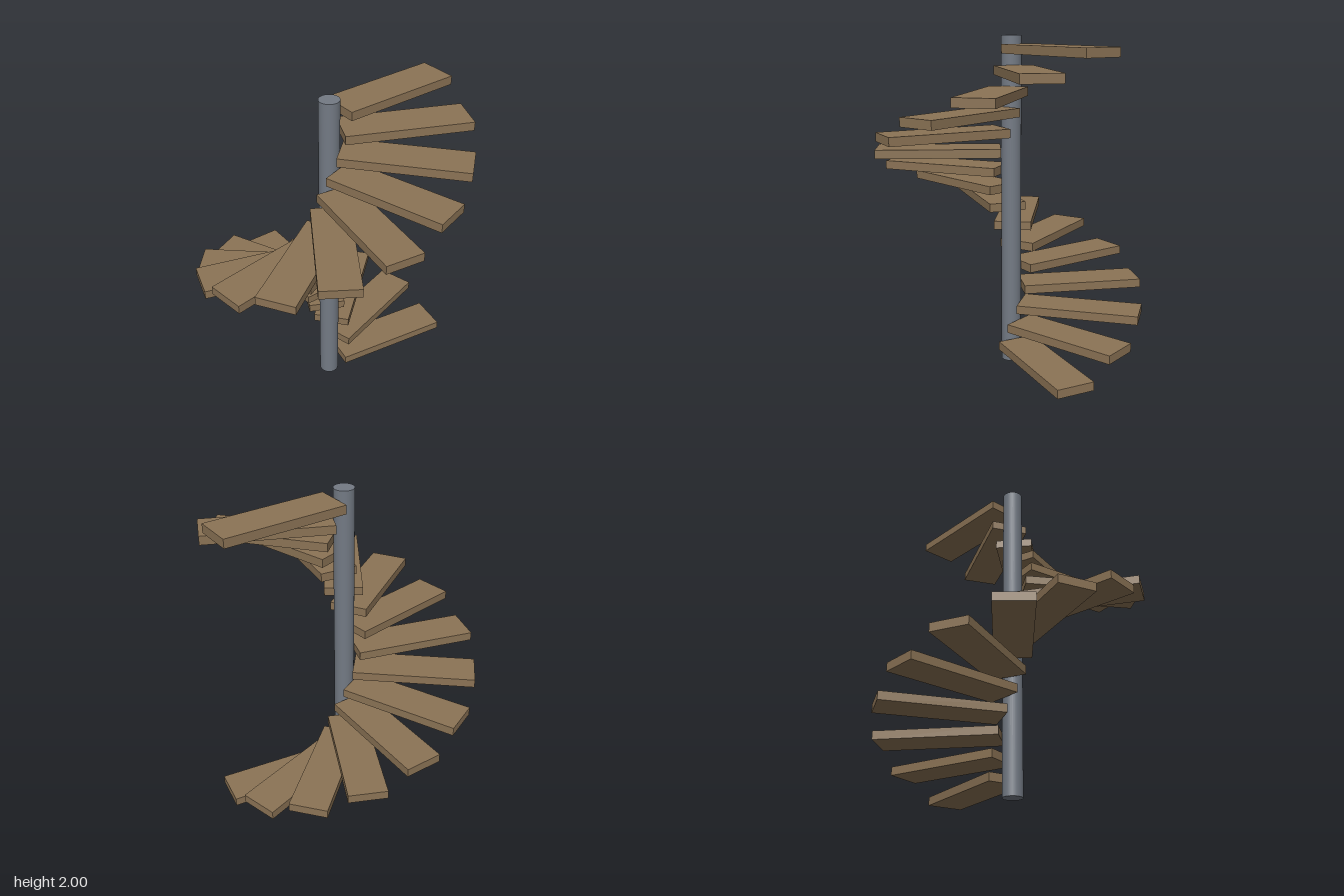
import * as THREE from 'three';

const TREADS = 16;
const STEP_ANGLE = THREE.MathUtils.degToRad(369.4 / 15);
const FIRST_Y = 0.122, RISE = 0.1202;
const INNER = 0.064, OUTER = 0.797;

export function createModel() {
  const wood = new THREE.MeshStandardMaterial({ color: 0x8b7355 });
  wood.name = 'wood';
  const steel = new THREE.MeshStandardMaterial({ color: 0x737a84 });
  steel.name = 'steel';

  const model = new THREE.Group();
  model.name = 'spiralStaircase';

  // Everything turns about the column axis
  const stairs = new THREE.Group();
  stairs.name = 'stairs';
  stairs.position.z = 0.006;
  model.add(stairs);

  // Central column
  const column = new THREE.Mesh(new THREE.CylinderGeometry(0.06, 0.06, 2, 32), steel);
  column.name = 'column';
  column.position.y = 1;
  stairs.add(column);

  // Treads climb counter-clockwise seen from above
  const treadGeometry = new THREE.BoxGeometry(OUTER - INNER, 0.052, 0.23);
  treadGeometry.translate((OUTER + INNER) / 2, 0, 0);
  for (let i = 0; i < TREADS; i++) {
    const tread = new THREE.Mesh(treadGeometry, wood);
    tread.name = `tread${i + 1}`;
    tread.position.y = FIRST_Y + i * RISE;
    tread.rotation.y = i * STEP_ANGLE;
    stairs.add(tread);
  }
  return model;
}
